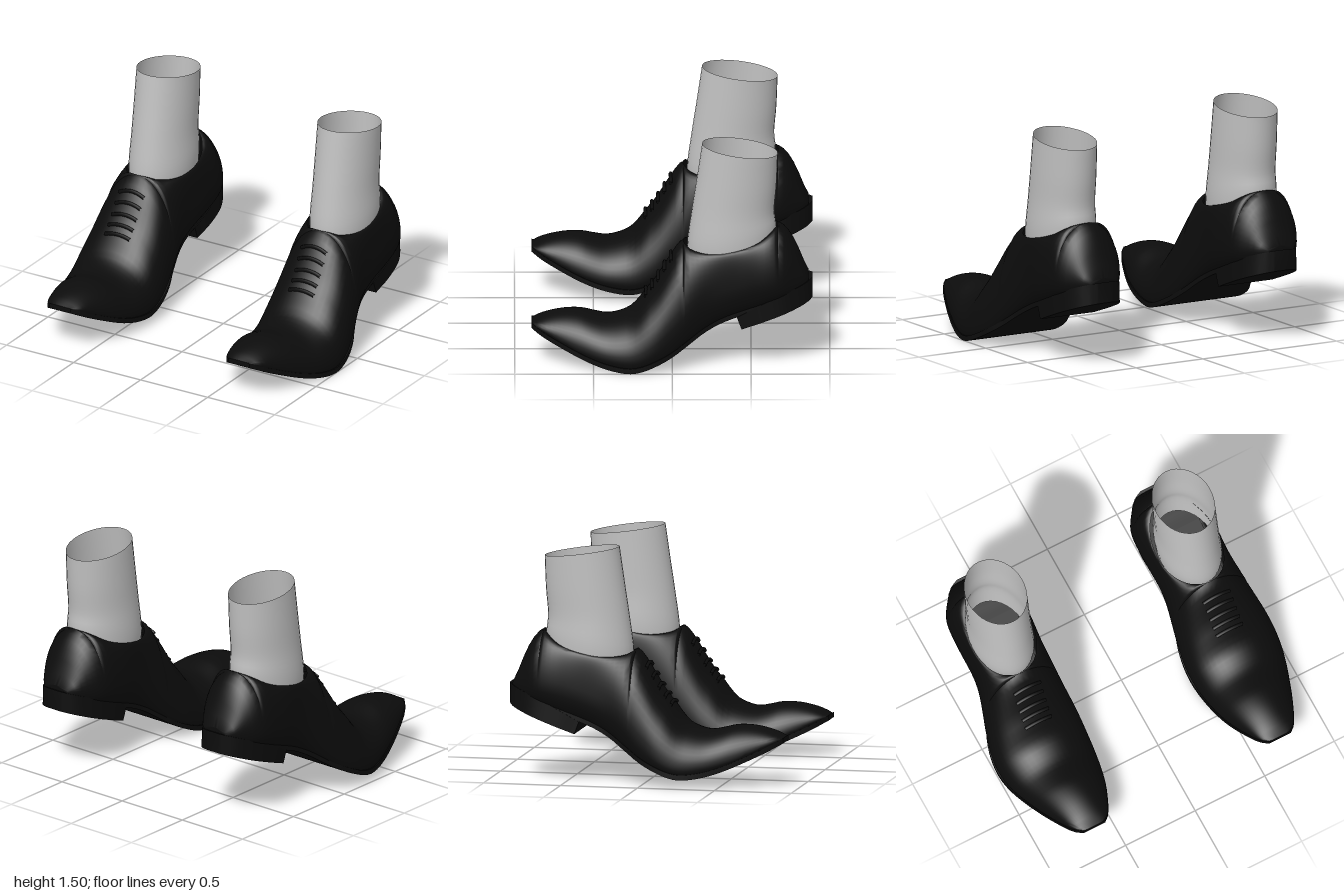
import * as THREE from 'three';
import { toCreasedNormals } from 'three/addons/utils/BufferGeometryUtils.js';

// Smooth curve through [position, value] pairs in ascending order
function curve(pts) {
  const slope = (i) => {
    const a = pts[Math.max(i - 1, 0)], b = pts[Math.min(i + 1, pts.length - 1)];
    return (b[1] - a[1]) / (b[0] - a[0]);
  };
  return (x) => {
    let i = 0;
    while (i < pts.length - 2 && x > pts[i + 1][0]) i++;
    const [x0, y0] = pts[i], [x1, y1] = pts[i + 1], h = x1 - x0;
    const t = Math.min(Math.max((x - x0) / h, 0), 1), t2 = t * t, t3 = t2 * t;
    return (2 * t3 - 3 * t2 + 1) * y0 + (t3 - 2 * t2 + t) * h * slope(i)
      + (3 * t2 - 2 * t3) * y1 + (t3 - t2) * h * slope(i + 1);
  };
}

// Shoe profiles along z, heel to toe
const centre = curve([[-0.9, 0.66], [-0.25, 0.67], [0.1, 0.69], [0.3, 0.69], [0.6, 0.67], [0.9, 0.667]]);
const width = curve([[-0.87, 0.085], [-0.85, 0.115], [-0.8, 0.16], [-0.68, 0.234], [-0.5, 0.247], [-0.25, 0.24], [0, 0.287],
  [0.12, 0.308], [0.25, 0.308], [0.4, 0.285], [0.6, 0.23], [0.75, 0.17], [0.85, 0.118], [0.89, 0.07]]);
const soleWidth = curve([[-0.89, 0.045], [-0.86, 0.105], [-0.8, 0.155], [-0.7, 0.195], [-0.55, 0.207], [-0.4, 0.195], [-0.25, 0.2],
  [-0.1, 0.24], [0, 0.28], [0.12, 0.306], [0.25, 0.308], [0.4, 0.285], [0.6, 0.23], [0.75, 0.17], [0.85, 0.118], [0.89, 0.075]]);
const bottom = curve([[-0.89, 0.51], [-0.41, 0.335], [-0.3, 0.29], [-0.2, 0.235], [-0.1, 0.165], [0, 0.1], [0.1, 0.05],
  [0.2, 0.012], [0.28, 0], [0.4, 0.015], [0.5, 0.042], [0.6, 0.08], [0.8, 0.172], [0.89, 0.222]]);
const widest = curve([[-0.87, 0.55], [-0.8, 0.56], [-0.5, 0.54], [-0.2, 0.42], [0, 0.22], [0.2, 0.09], [0.4, 0.08],
  [0.6, 0.13], [0.8, 0.215], [0.89, 0.25]]);
const top = curve([[-0.87, 0.57], [-0.85, 0.6], [-0.82, 0.685], [-0.76, 0.815], [-0.7, 0.89], [-0.67, 0.9], [-0.55, 0.825],
  [-0.4, 0.778], [-0.25, 0.755], [-0.12, 0.765], [-0.06, 0.787], [0, 0.71], [0.1, 0.545], [0.17, 0.455], [0.22, 0.385],
  [0.27, 0.335], [0.35, 0.3], [0.42, 0.29], [0.5, 0.305], [0.58, 0.323], [0.68, 0.323], [0.78, 0.305], [0.85, 0.28], [0.89, 0.255]]);
const collar = (z) => 0.207 * Math.sqrt(Math.max(0, 1 - ((z + 0.37) / 0.3) ** 2));

// Skin between rows of [x, y, z] points; side = -1 mirrors it
function loft(rows, side, { closed = false, caps = true } = {}) {
  const n = rows[0].length, pos = [], idx = [];
  const tri = (a, b, c) => (side > 0 ? idx.push(a, b, c) : idx.push(a, c, b));
  rows.forEach((r) => r.forEach(([x, y, z]) => pos.push(side * x, y, z)));
  for (let i = 0; i < rows.length - 1; i++) {
    for (let j = 0; j < (closed ? n : n - 1); j++) {
      const a = i * n + j, b = i * n + (j + 1) % n;
      tri(a, a + n, b);
      tri(b, a + n, b + n);
    }
  }
  const last = (rows.length - 1) * n;
  for (let j = 1; caps && j < n - 1; j++) {
    tri(0, j, j + 1);
    tri(last, last + j + 1, last + j);
  }
  const g = new THREE.BufferGeometry();
  g.setAttribute('position', new THREE.Float32BufferAttribute(pos, 3));
  g.setIndex(idx);
  g.computeVertexNormals();
  return g;
}

// Evenly spaced stations plus extra ones where the shape turns quickly
function stations(from, to, count, extra = []) {
  const zs = extra.slice();
  for (let i = 0; i <= count; i++) zs.push(from + (to - from) * i / count);
  return zs.sort((a, b) => a - b);
}

// Cross-section of the upper: rim, shoulder, side, sole, and back up
function upperRow(z) {
  const c = collar(z), w = width(z), m = widest(z), t = top(z), b = bottom(z) + 0.025, sw = soleWidth(z) - 0.012;
  const half = [];
  for (let i = 0; i <= 12; i++) {
    const a = i / 12 * Math.PI / 2;
    half.push([c + (w - c) * Math.sin(a), m + (t - m) * Math.cos(a)]);
  }
  for (let i = 1; i <= 5; i++) {
    const a = i / 5 * Math.PI / 2;
    half.push([sw + (w - sw) * Math.cos(a), m + (b - m) * Math.sin(a)]);
  }
  const cx = centre(z);
  return [...half.map(([x, y]) => [cx + x, y, z]), ...half.reverse().map(([x, y]) => [cx - x, y, z])];
}

const slab = (w, z, yTop, yBottom, zBottom = z) => [
  [centre(z) + w, yTop, z], [centre(z) + w, yBottom, zBottom],
  [centre(z) - w, yBottom, zBottom], [centre(z) - w, yTop, z]];

function makeShoe(side, leather, sock) {
  const shoe = new THREE.Group();
  const add = (name, geo, mat) => {
    const mesh = new THREE.Mesh(geo, mat);
    mesh.name = name;
    shoe.add(mesh);
  };

  // Upper, open at the ankle
  const zs = stations(-0.865, 0.89, 56, [-0.671, -0.669, -0.665, -0.655, -0.085, -0.075, -0.071, -0.069]);
  add('upper', toCreasedNormals(loft(zs.map(upperRow), side), 0.7), leather);

  // Sole plate with a slim projecting edge
  const soleRows = stations(-0.88, 0.892, 48).map((z) => slab(soleWidth(z) + 0.003, z, bottom(z) + 0.033, bottom(z)));
  add('sole', toCreasedNormals(loft(soleRows, side, { closed: true }), 0.7), leather);

  // Heel block with a slanted front
  const heelRows = stations(-0.89, -0.41, 18, [-0.885, -0.875]).map((z) => {
    const zb = z - 0.03 * (z + 0.89) / 0.48;
    return slab(soleWidth(z) + 0.006, z, bottom(z) + 0.045 * Math.min(1, (-0.41 - z) * 4), 0.255 - (zb + 0.44) * 0.367, zb);
  });
  add('heel', toCreasedNormals(loft(heelRows, side, { closed: true }), 0.7), leather);

  // Laces across the instep
  for (let k = 0; k < 5; k++) {
    const z = 0.005 + k * 0.04, pts = [];
    for (let i = -3; i <= 3; i++) {
      const dx = i * 0.031, s = dx / width(z);
      const y = widest(z) + (top(z) - widest(z)) * Math.sqrt(1 - s * s);
      pts.push(new THREE.Vector3(side * (centre(z) - 0.005 + dx), y + 0.004, z + 0.004));
    }
    add('lace', new THREE.TubeGeometry(new THREE.CatmullRomCurve3(pts), 12, 0.012, 6), leather);
  }

  // Sock tube: height and depth at its front and back, and half width
  const yFront = curve([[0, 0.62], [1, 0.76], [2, 1.0], [3, 1.2], [4, 1.44]]);
  const yBack = curve([[0, 0.68], [1, 0.88], [2, 1.0], [3, 1.17], [4, 1.375]]);
  const zFront = curve([[0, -0.12], [1, -0.095], [2, -0.125], [3, -0.155], [4, -0.19]]);
  const zBack = curve([[0, -0.64], [1, -0.658], [2, -0.648], [3, -0.662], [4, -0.67]]);
  const half = curve([[0, 0.19], [1, 0.2], [2, 0.191], [3, 0.19], [4, 0.188]]);
  const sockRows = stations(0, 4, 16).map((t) => {
    const ring = [];
    for (let j = 0; j < 36; j++) {
      const a = j / 36 * Math.PI * 2, f = (1 + Math.sin(a)) / 2;
      ring.push([0.675 + half(t) * Math.cos(a), yBack(t) + (yFront(t) - yBack(t)) * f, zBack(t) + (zFront(t) - zBack(t)) * f]);
    }
    return ring;
  });
  add('sock', loft(sockRows, side, { closed: true, caps: false }), sock);
  return shoe;
}

export function createModel() {
  const leather = new THREE.MeshStandardMaterial({ color: 0x0c0c0c, side: THREE.DoubleSide });
  leather.name = 'black leather';
  const sock = new THREE.MeshStandardMaterial({ color: 0xc0c0c0, side: THREE.DoubleSide });
  sock.name = 'grey sock';

  const model = new THREE.Group();
  model.name = 'pairOfShoes';
  const left = makeShoe(1, leather, sock);
  left.name = 'leftShoe';
  // The right shoe is lifted a little higher
  const right = makeShoe(-1, leather, sock);
  right.name = 'rightShoe';
  right.position.y = 0.057;
  model.add(left, right);
  return model;
}
